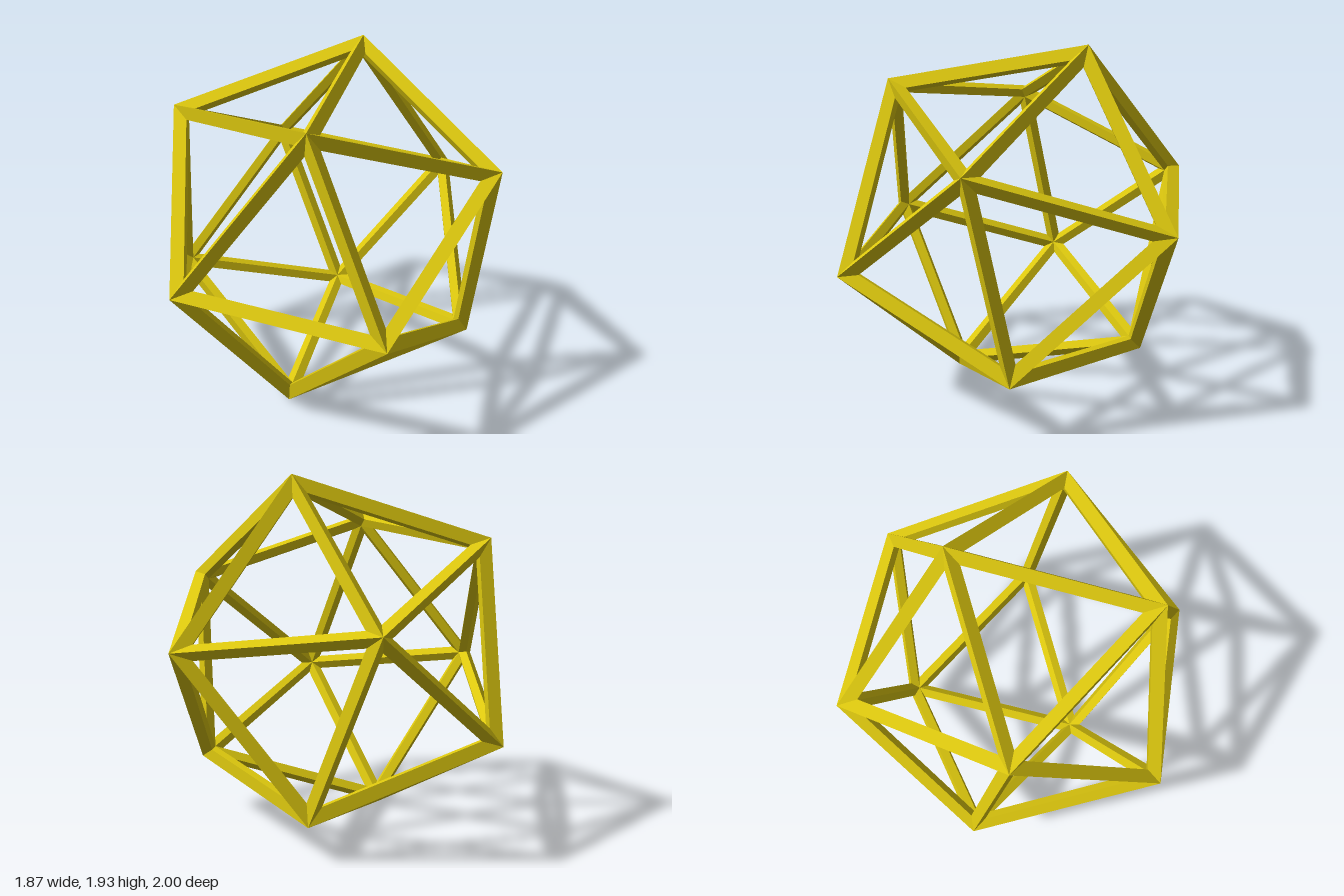
import * as THREE from 'three';

const R = 1.045;                 // outer corner radius
const TILT = Math.PI / 8;        // lean of the five-fold axis toward the back
const INNER = 0.903;             // inner ridge scale
const MIDDLE = (1 + INNER) / 2;  // scale of the hole rims
const INSET = 0.043;             // in-face distance from edge to hole rim

// The 20 faces of an icosahedron, each a counter-clockwise triple of corners
function icosahedronFaces() {
  const top = new THREE.Vector3(0, R, 0);
  const ring = [];
  for (let i = 0; i < 5; i++) {
    const t = (i * 2 * Math.PI) / 5, r = (2 * R) / Math.sqrt(5);
    ring.push(new THREE.Vector3(r * Math.cos(t), R / Math.sqrt(5), -r * Math.sin(t)));
  }
  const faces = [];
  for (let i = 0; i < 5; i++) {
    const a = ring[i], b = ring[(i + 1) % 5];
    const low = ring[(i + 3) % 5].clone().negate();
    for (const face of [[top, a, b], [a, low, b]]) {
      faces.push(face);
      // opposite face, mirrored through the centre
      faces.push(face.map((v) => v.clone().negate()).reverse());
    }
  }
  return faces;
}

// Struts of four-sided section: outer ridge, inner ridge and two hole rims
function strutFrameGeometry() {
  const pos = [];
  const quad = (a, b, c, d) => {
    for (const v of [a, b, c, a, c, d]) pos.push(v.x, v.y, v.z);
  };
  for (const face of icosahedronFaces()) {
    const inner = face.map((v) => v.clone().multiplyScalar(INNER));
    const middle = face.map((v) => v.clone().multiplyScalar(MIDDLE));
    const centre = new THREE.Vector3();
    middle.forEach((v) => centre.addScaledVector(v, 1 / 3));
    const rim = middle.map((v) =>
      v.clone().addScaledVector(centre.clone().sub(v).normalize(), 2 * INSET));
    for (let i = 0; i < 3; i++) {
      const j = (i + 1) % 3;
      quad(face[i], face[j], rim[j], rim[i]);    // outer side
      quad(rim[i], rim[j], inner[j], inner[i]);  // inner side
    }
  }
  const geometry = new THREE.BufferGeometry();
  geometry.setAttribute('position', new THREE.Float32BufferAttribute(pos, 3));
  geometry.rotateX(-TILT);
  geometry.translate(0, R * Math.cos(TILT), 0);
  geometry.computeVertexNormals();
  return geometry;
}

export function createModel() {
  const group = new THREE.Group();
  group.name = 'icosahedronLattice';
  const material = new THREE.MeshStandardMaterial({ color: 0xdcc70e, flatShading: true });
  const frame = new THREE.Mesh(strutFrameGeometry(), material);
  frame.name = 'strutFrame';
  group.add(frame);
  return group;
}
